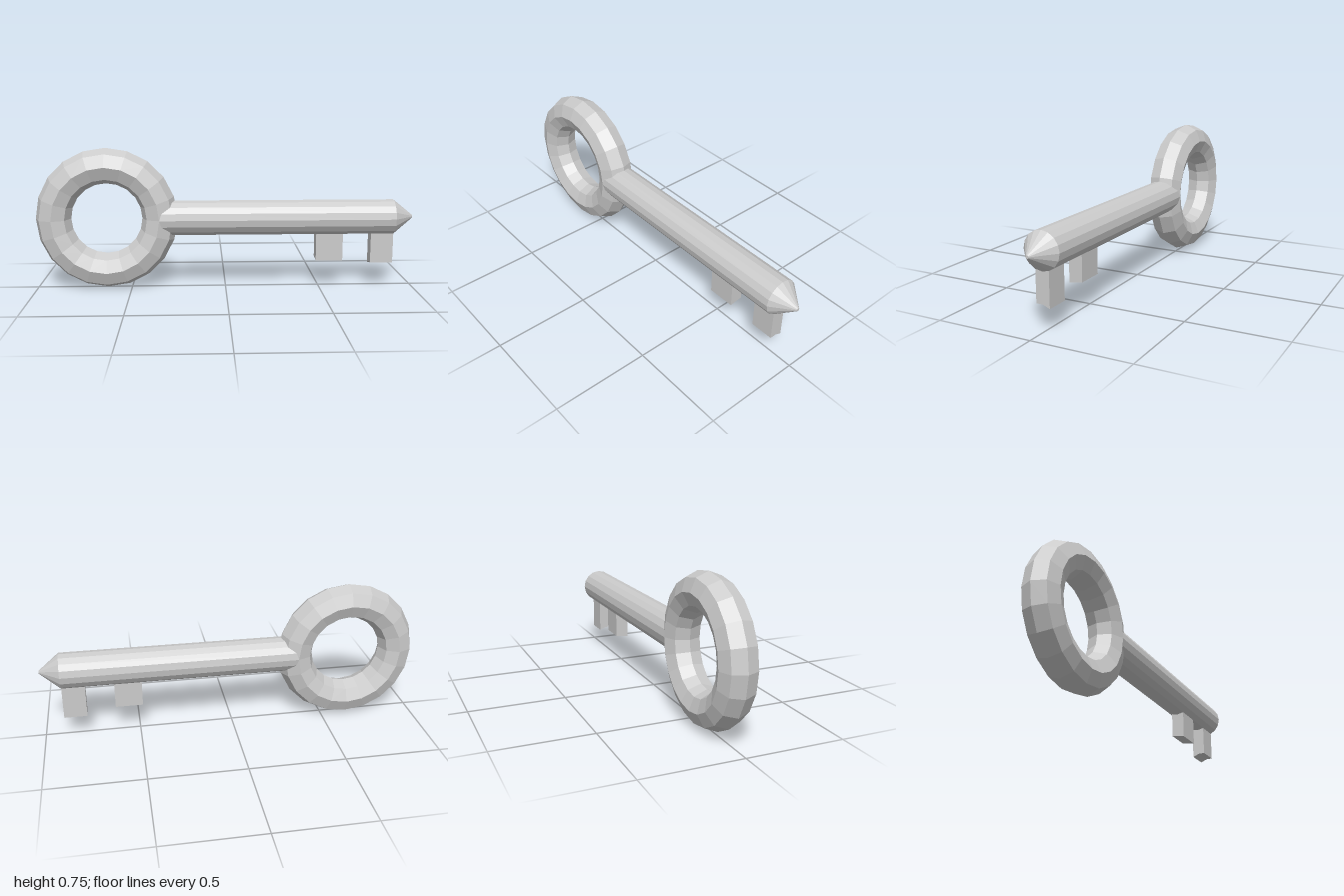
import * as THREE from 'three';

const material = new THREE.MeshStandardMaterial({ color: 0xcccccc, flatShading: true });
const AXIS_Y = 0.376;
const RADIUS = 0.093;

function add(group, name, geometry, x, y) {
  const mesh = new THREE.Mesh(geometry, material);
  mesh.name = name;
  mesh.position.set(x, y, 0);
  group.add(mesh);
}

// Round section along x, tapering from r0 at x0 to r1 at x1
function addRod(group, name, x0, x1, r0, r1) {
  const geometry = new THREE.CylinderGeometry(r1, r0, x1 - x0, 16).rotateZ(-Math.PI / 2);
  add(group, name, geometry, (x0 + x1) / 2, AXIS_Y);
}

// Tooth under the shaft: bottom heights at the front, middle and back
function addTooth(group, name, x0, x1, front, middle, back) {
  const half = 0.035, top = 0.32;
  const shape = new THREE.Shape([
    new THREE.Vector2(-half, top),
    new THREE.Vector2(-half, front),
    new THREE.Vector2(0, middle),
    new THREE.Vector2(half, back),
    new THREE.Vector2(half, top),
  ]);
  const geometry = new THREE.ExtrudeGeometry(shape, { depth: x1 - x0, bevelEnabled: false });
  geometry.rotateY(Math.PI / 2);
  add(group, name, geometry, x0, 0);
}

export function createModel() {
  const key = new THREE.Group();
  key.name = 'key';

  // Ring handle
  add(key, 'ringHandle', new THREE.TorusGeometry(0.28, RADIUS, 8, 20), -0.627, AXIS_Y);

  // Shaft and pointed end
  addRod(key, 'shaft', -0.35, 0.895, RADIUS, RADIUS);
  addRod(key, 'tip', 0.895, 1, RADIUS, 0.008);

  // Teeth
  addTooth(key, 'innerTooth', 0.482, 0.625, 0.144, 0.15, 0.155);
  addTooth(key, 'outerTooth', 0.775, 0.895, 0.131, 0.131, 0.116);

  return key;
}
